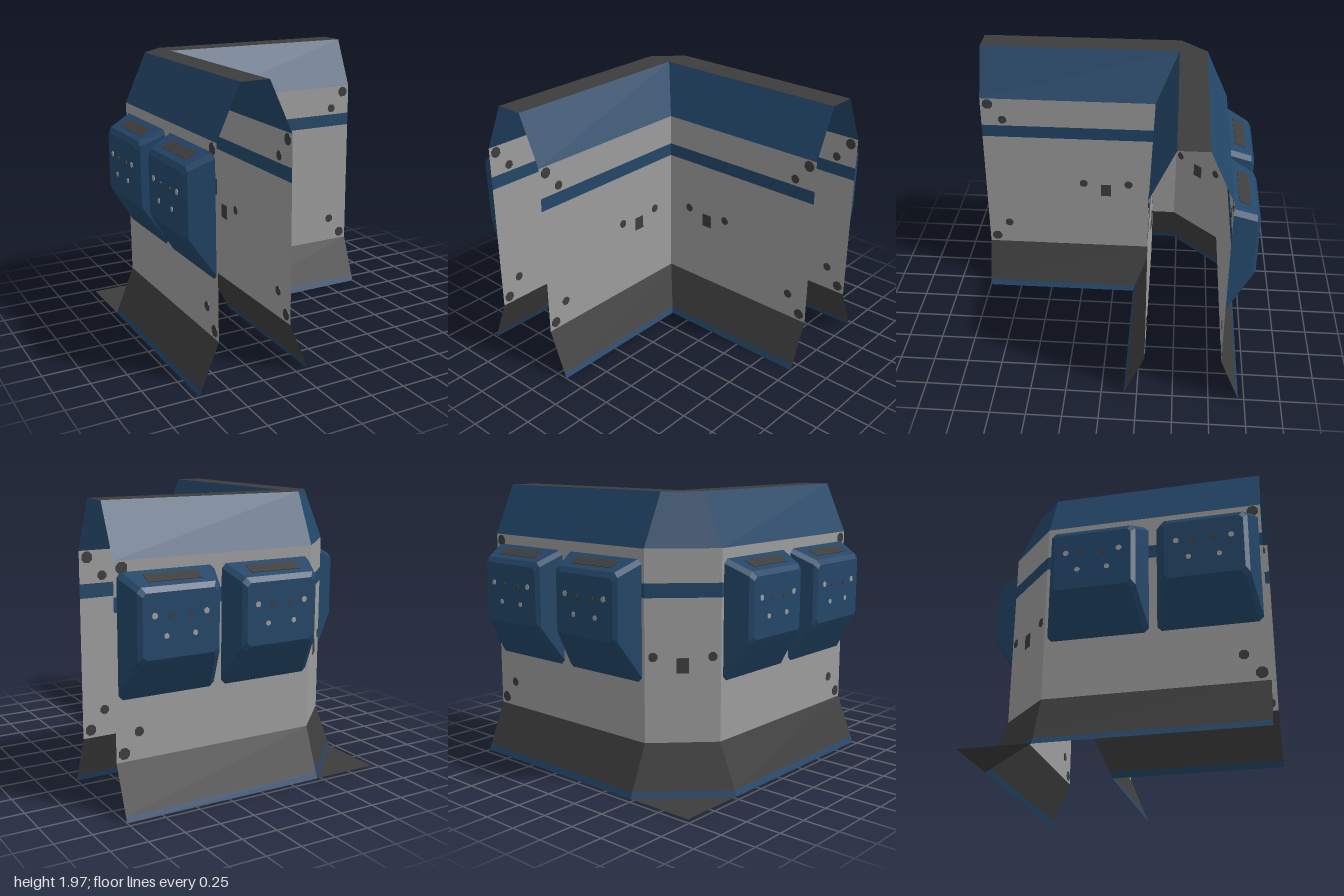
import * as THREE from 'three';

const mat = (name, color) => {
  const m = new THREE.MeshStandardMaterial({ color, side: THREE.DoubleSide, flatShading: true });
  m.name = name;
  return m;
};

export function createModel() {
  const root = new THREE.Group();
  root.name = 'cornerWall';
  const blue = mat('navyBlue', 0x234668);
  const grey = mat('panelGrey', 0x9c9c9c);
  const dark = mat('darkGrey', 0x3d3d3d);

  const add = (parent, name, geometry, material, x = 0, y = 0, z = 0) => {
    const m = new THREE.Mesh(geometry, material);
    m.name = name;
    m.position.set(x, y, z);
    parent.add(m);
    return m;
  };

  // Strip of flat quads between two matching rows of points
  const quads = (lo, hi, closed = false) => {
    const out = [];
    const n = lo.length;
    for (let i = 0; i < (closed ? n : n - 1); i++) {
      const j = (i + 1) % n;
      out.push(...lo[j], ...lo[i], ...hi[i], ...lo[j], ...hi[i], ...hi[j]);
    }
    return out;
  };
  const geo = (points) => {
    const g = new THREE.BufferGeometry();
    g.setAttribute('position', new THREE.Float32BufferAttribute(points, 3));
    g.computeVertexNormals();
    return g;
  };

  // L-shaped paths at distance d: outer one has a cut corner, inner one is sharp
  const C = 0.47;
  const outer = (d, y) => [[-d, y, 1], [-d, y, -C], [-C, y, -d], [1, y, -d]];
  const inner = (d, y) => [[1, y, -d], [-d, y, -d], [-d, y, 1]];

  // Wall profile bands from the floor up: name, material, y range, outer and inner distances
  const bands = [
    ['baseTrim', blue, 0, 0.04, 0.96, 0.944, 0.16, 0.176],
    ['baseSkirt', dark, 0.04, 0.345, 0.944, 0.82, 0.176, 0.3],
    ['lowerPanel', grey, 0.345, 1.305, 0.82, 0.82, 0.3, 0.3],
    ['wallStripe', blue, 1.305, 1.4, 0.82, 0.82, 0.3, 0.3],
    ['upperPanel', grey, 1.4, 1.62, 0.82, 0.82, 0.3, 0.3],
    ['topSlope', blue, 1.62, 1.97, 0.82, 0.66, 0.3, 0.46],
  ];
  for (const [name, m, y0, y1, o0, o1, i0, i1] of bands) {
    add(root, name + 'Outer', geo(quads(outer(o0, y0), outer(o1, y1))), m);
    add(root, name + 'Inner', geo(quads(inner(i0, y0), inner(i1, y1))), m);
  }

  // Flat top between the two upper edges (inner corner doubled to match the cut corner)
  const [a, b, c] = inner(0.46, 1.97);
  add(root, 'topCap', geo(quads(outer(0.66, 1.97), [c, b, b, a])), dark);

  // Flat triangular foot at the outer corner
  const E = 0.96;
  add(root, 'cornerFoot', geo([-E, 0.002, -E, -E, 0.002, -C, -C, 0.002, -E]), dark);

  // Frames on the wall faces: local +z points away from the wall
  const frame = (name, x, z, turn) => {
    const g = new THREE.Group();
    g.name = name;
    g.position.set(x, 0, z);
    g.rotation.y = turn;
    root.add(g);
    return g;
  };
  const bolt = (parent, x, y, r, z = 0, m = dark) => {
    const g = new THREE.CylinderGeometry(r, r, 0.008, 8);
    g.rotateY(Math.PI / 8);
    g.rotateX(Math.PI / 2);
    add(parent, 'bolt', g, m, x, y, z);
  };
  const endBolts = (f, s) => {
    for (const [u, y, r] of [[0.945, 1.575, 0.04], [0.84, 1.45, 0.033], [0.84, 0.53, 0.033], [0.945, 0.4, 0.04]])
      bolt(f, s * u, y, r);
  };
  const latch = (f, u, gap) => {
    bolt(f, u - gap, 0.92, 0.032);
    bolt(f, u + gap, 0.92, 0.032);
    add(f, 'latchPlate', new THREE.BoxGeometry(0.08, 0.1, 0.008), dark, u, 0.862, 0);
  };

  // Outline of a pod section: rectangle with cut corners
  const section = (w, y0, y1, z, k) => [
    [-w + k, y0, z], [-w, y0 + k, z], [-w, y1 - k, z], [-w + k, y1, z],
    [w - k, y1, z], [w, y1 - k, z], [w, y0 + k, z], [w - k, y0, z],
  ];
  const pod = (f, u) => {
    const g = new THREE.Group();
    g.name = 'armourPod';
    g.position.x = u;
    f.add(g);
    const rings = [
      section(0.343, 0.75, 1.55, 0, 0.03),
      section(0.288, 0.995, 1.475, 0.158, 0.03),
      section(0.26, 1.03, 1.44, 0.18, 0.025),
    ];
    const front = rings[2];
    const pts = [...quads(rings[0], rings[1], true), ...quads(rings[1], rings[2], true)];
    for (let i = 1; i < 7; i++) pts.push(...front[0], ...front[i + 1], ...front[i]);
    add(g, 'podShell', geo(pts), blue);
    // Grip strip on the sloping top
    const grip = add(g, 'podGrip', new THREE.BoxGeometry(0.38, 0.008, 0.085), dark, 0, 1.512, 0.08);
    grip.rotation.x = Math.atan2(0.075, 0.158);
    // Small studs on the front
    for (const s of [-1, 1]) {
      bolt(g, s * 0.18, 1.3, 0.02, 0.18, grey);
      bolt(g, s * 0.1, 1.17, 0.018, 0.18, grey);
      bolt(g, s * 0.07, 1.29, 0.018, 0.18);
    }
  };

  // Inner faces
  const innerBack = frame('innerBackFittings', 0, -0.3, 0);
  const innerSide = frame('innerSideFittings', -0.3, 0, Math.PI / 2);
  for (const [f, s] of [[innerBack, 1], [innerSide, -1]]) {
    endBolts(f, s);
    latch(f, s * 0.065, 0.173);
  }

  // Outer faces with two pods each
  const outerBack = frame('outerBackFittings', 0, -0.82, Math.PI);
  const outerSide = frame('outerSideFittings', -0.82, 0, -Math.PI / 2);
  for (const [f, s] of [[outerBack, -1], [outerSide, 1]]) {
    endBolts(f, s);
    for (const u of [-0.105, 0.636]) pod(f, s * u);
  }

  // Cut outer corner
  latch(frame('cornerFittings', -0.645, -0.645, -Math.PI * 0.75), 0, 0.193);

  return root;
}
